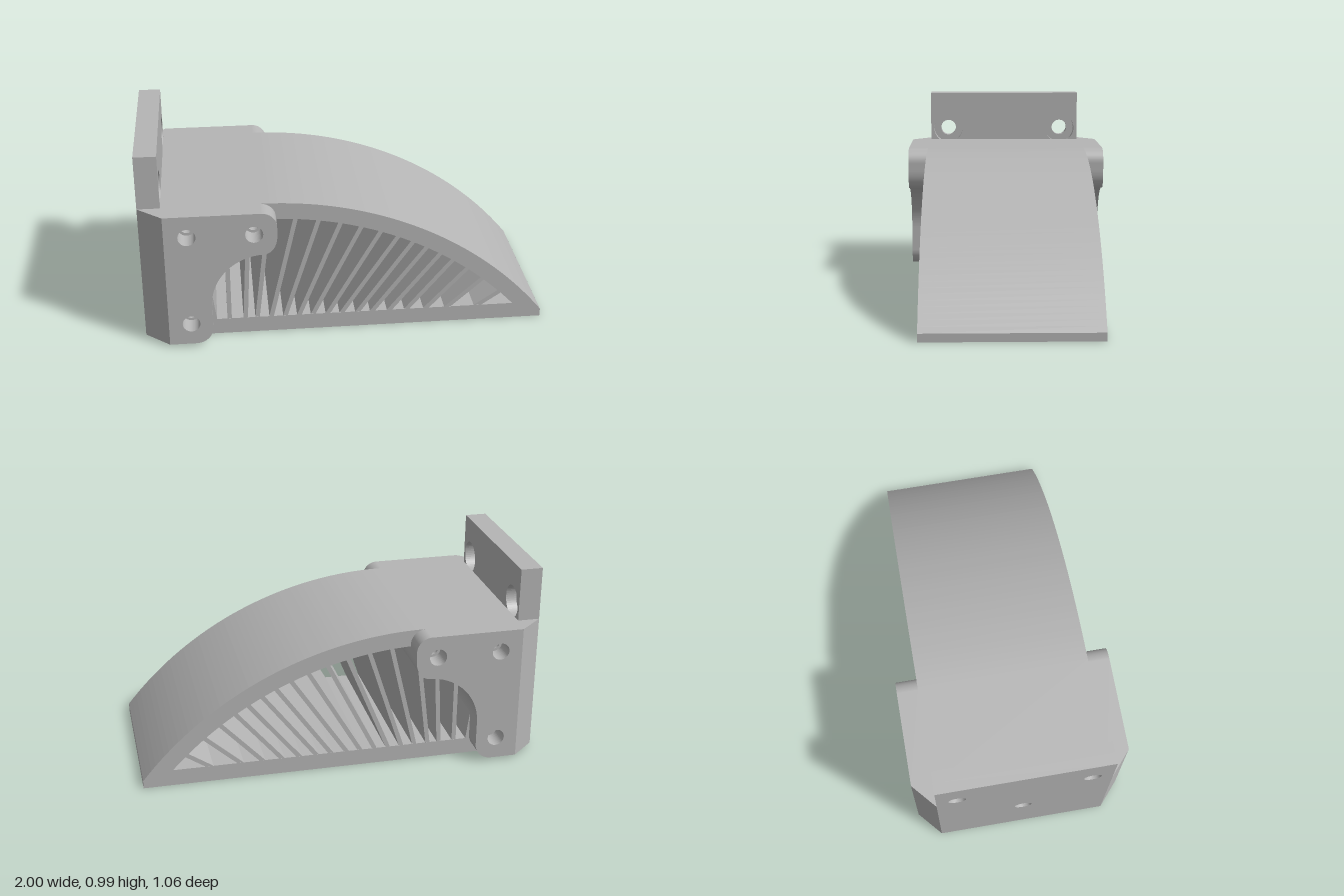
import * as THREE from 'three';

const HALF = 0.425;      // half width of the body and back plate
const FLANGE = 0.105;    // thickness of each side flange
const ARC = { x: -0.4, y: -1.074, outer: 1.789, inner: 1.705 };
const SCREWS = [[-0.77, 0.605], [-0.45, 0.605], [-0.77, 0.128]];

const circle = (x, y, r) => new THREE.Path().absarc(x, y, r, 0, Math.PI * 2, false);
const extrude = (shape, depth) =>
  new THREE.ExtrudeGeometry(shape, { depth, bevelEnabled: false, curveSegments: 24 });

// Concave edge and rounded upper lobe shared by the flanges and the body window
function lobeEdge(path) {
  path.absarc(-0.4, 0.23, 0.265, Math.PI, Math.PI / 2, true);
  path.bezierCurveTo(-0.36, 0.505, -0.34, 0.545, -0.34, 0.6);
}

// Curved wedge with a large side window
function bodyGeometry() {
  const s = new THREE.Shape();
  s.moveTo(-0.89, 0);
  s.lineTo(1, 0);
  s.lineTo(1, 0.04);
  s.absarc(ARC.x, ARC.y, ARC.outer, Math.atan2(0.04 - ARC.y, 1 - ARC.x), Math.PI / 2, false);
  s.lineTo(-0.89, 0.715);

  const w = new THREE.Path();
  w.moveTo(-0.645, 0.083);
  w.lineTo(-0.665, 0.23);
  lobeEdge(w);
  w.absarc(ARC.x, ARC.y, ARC.inner, Math.acos(0.06 / ARC.inner),
    Math.asin((0.083 - ARC.y) / ARC.inner), true);
  w.closePath();
  s.holes.push(w, ...SCREWS.map(([x, y]) => circle(x, y, 0.03)));
  return extrude(s, HALF * 2).translate(0, 0, -HALF);
}

// Side flange with three screw holes
function flangeGeometry() {
  const s = new THREE.Shape();
  s.moveTo(-0.88, 0.015);
  s.lineTo(-0.75, 0.015);
  s.absarc(-0.75, 0.1, 0.085, -Math.PI / 2, 0, false);
  s.lineTo(-0.665, 0.23);
  lobeEdge(s);
  s.lineTo(-0.34, 0.64);
  s.absarc(-0.415, 0.64, 0.075, 0, Math.PI / 2, false);
  s.lineTo(-0.88, 0.715);
  s.holes.push(...SCREWS.map(([x, y]) => circle(x, y, 0.043)));
  return extrude(s, FLANGE);
}

// One layer of the back plate, extruded along x
function plateLayer(x, depth, holeRadius) {
  const s = new THREE.Shape([
    new THREE.Vector2(-HALF, 0.015), new THREE.Vector2(HALF, 0.015),
    new THREE.Vector2(HALF, 0.985), new THREE.Vector2(-HALF, 0.985),
  ]);
  s.holes.push(circle(-0.325, 0.78, holeRadius), circle(0.325, 0.78, holeRadius),
    circle(0, 0.4, 0.043));
  return extrude(s, depth).rotateY(Math.PI / 2).translate(x, 0, 0);
}

export function createModel() {
  const group = new THREE.Group();
  group.name = 'ribbedBracket';
  const grey = new THREE.MeshStandardMaterial({ color: 0xb5b5b5 });
  grey.name = 'plainGrey';
  const add = (name, geometry) => {
    const mesh = new THREE.Mesh(geometry, grey);
    mesh.name = name;
    group.add(mesh);
    return mesh;
  };

  add('curvedBody', bodyGeometry());
  add('backPlateRear', plateLayer(-1, 0.055, 0.043));
  add('backPlateCounterbore', plateLayer(-0.945, 0.055, 0.082));

  // Flanges on both sides, with a sloping corner towards the back plate
  for (const side of [1, -1]) {
    const label = side > 0 ? 'front' : 'rear';
    add(label + 'Flange', flangeGeometry()).position.z = side > 0 ? HALF : -HALF - FLANGE;
    const corner = new THREE.Shape([
      new THREE.Vector2(-1, -side * HALF),
      new THREE.Vector2(-0.88, -side * HALF),
      new THREE.Vector2(-0.88, -side * (HALF + FLANGE)),
    ]);
    add(label + 'Corner', extrude(corner, 0.7).rotateX(-Math.PI / 2).translate(0, 0.015, 0));
  }

  // Fanned ribs: [bottom x, top x, top y when it ends under the lobe]
  const ribs = [
    [-0.583, -0.583, 0.42], [-0.503, -0.48, 0.5], [-0.444, -0.39, 0.52],
    [-0.374, -0.246], [-0.305, -0.134], [-0.235, -0.027], [-0.166, 0.075],
    [-0.091, 0.171], [-0.021, 0.257], [0.059, 0.332], [0.134, 0.401],
    [0.22, 0.471], [0.308, 0.535], [0.406, 0.61], [0.515, 0.69], [0.668, 0.781],
  ];
  for (const [x0, x1, lobeY] of ribs) {
    const y0 = 0.08;
    const y1 = lobeY ?? ARC.y + Math.sqrt(ARC.inner ** 2 - (x1 - ARC.x) ** 2);
    const length = Math.hypot(x1 - x0, y1 - y0) + 0.02;
    const rib = add('rib', new THREE.BoxGeometry(0.022, length, HALF * 2 - 0.002));
    rib.position.set((x0 + x1) / 2, (y0 + y1) / 2, 0);
    rib.rotation.z = -Math.atan2(x1 - x0, y1 - y0);
  }
  return group;
}
